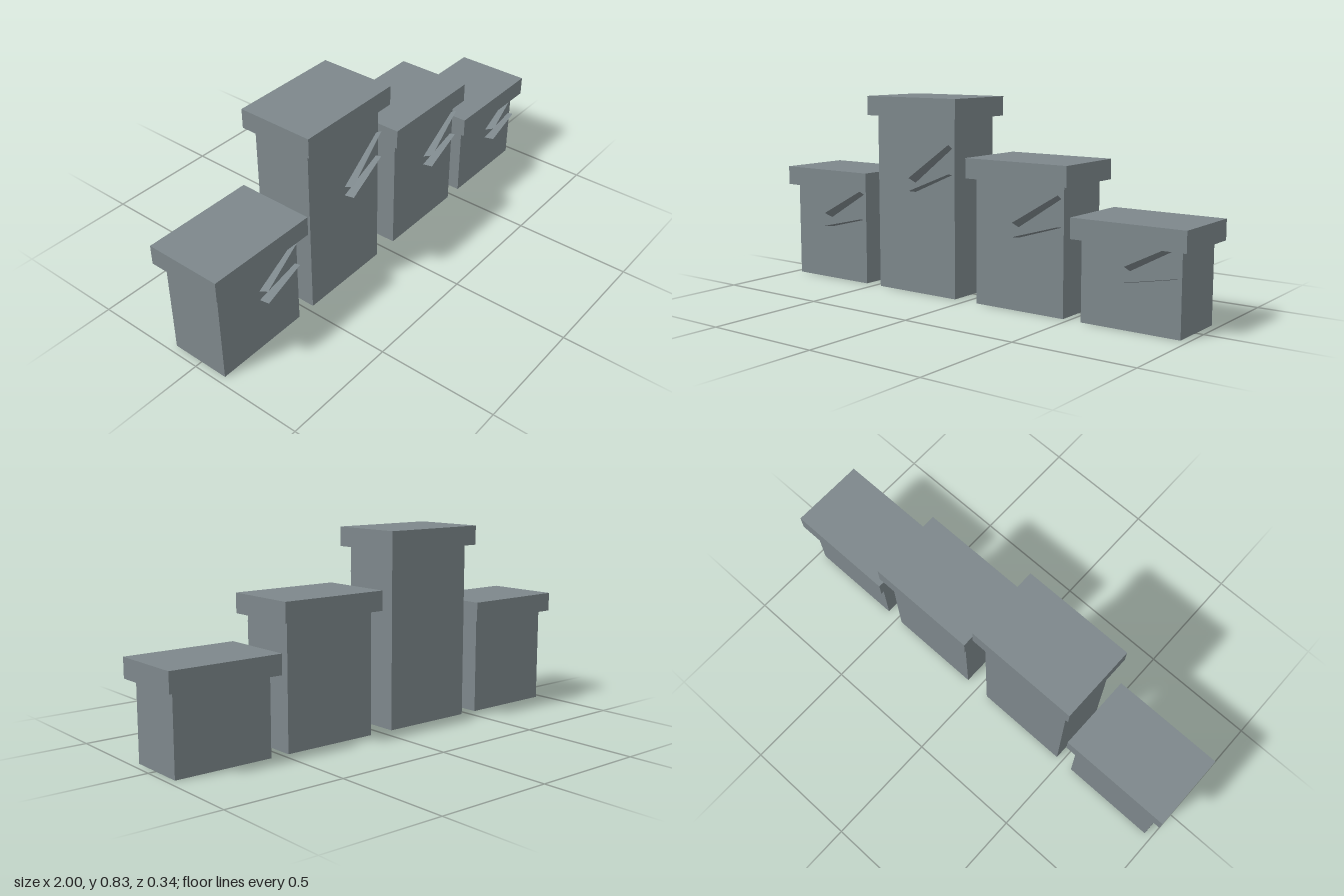
import * as THREE from 'three';

const CAP_HEIGHT = 0.082;
const CENTRE_Z = -0.006;

// left edge of each cap, and height of the body below it
const PILLARS = [
  { x: -1.0, h: 0.413 },
  { x: -0.503, h: 0.748 },
  { x: 0.026, h: 0.515 },
  { x: 0.522, h: 0.323 },
];

function box(name, w, h, d, y, material) {
  const mesh = new THREE.Mesh(new THREE.BoxGeometry(w, h, d), material);
  mesh.name = name;
  mesh.position.set(0, y + h / 2, CENTRE_Z);
  return mesh;
}

// thin slanted sheet sticking out of the front wall, narrower to its right end
function fin(name, yLeft, yRight, dropLeft, dropRight, material) {
  const xl = -0.001, xr = 0.196;
  const geometry = new THREE.BufferGeometry();
  geometry.setAttribute('position', new THREE.Float32BufferAttribute([
    xl, yLeft, 0.17,
    xr, yRight, 0.15,
    xr, yRight - dropRight, 0.122,
    xl, yLeft - dropLeft, 0.122,
  ], 3));
  geometry.setIndex([0, 1, 2, 0, 2, 3]);
  const flat = geometry.toNonIndexed();
  flat.computeVertexNormals();
  const mesh = new THREE.Mesh(flat, material);
  mesh.name = name;
  mesh.position.x = -0.0; 
  return mesh;
}

export function createModel() {
  const stone = new THREE.MeshStandardMaterial({ color: 0x7d878b });
  stone.name = 'grey stone';
  stone.side = THREE.DoubleSide;

  const model = new THREE.Group();
  model.name = 'pillarRow';

  for (const { x, h } of PILLARS) {
    const pillar = new THREE.Group();
    pillar.name = 'pillar';
    pillar.position.x = x + 0.239;
    pillar.add(box('body', 0.416, h, 0.26, 0, stone));
    pillar.add(box('cap', 0.478, CAP_HEIGHT, 0.328, h, stone));

    // pair of fins on the front, spreading apart to the right
    const fins = new THREE.Group();
    fins.name = 'frontFins';
    fins.add(fin('upperFin', 0.58 * h + 0.062, 0.69 * h + 0.127, 0.025, 0.018, stone));
    fins.add(fin('lowerFin', 0.59 * h, 0.7 * h, 0.009, 0.006, stone));
    pillar.add(fins);
    model.add(pillar);
  }
  return model;
}
